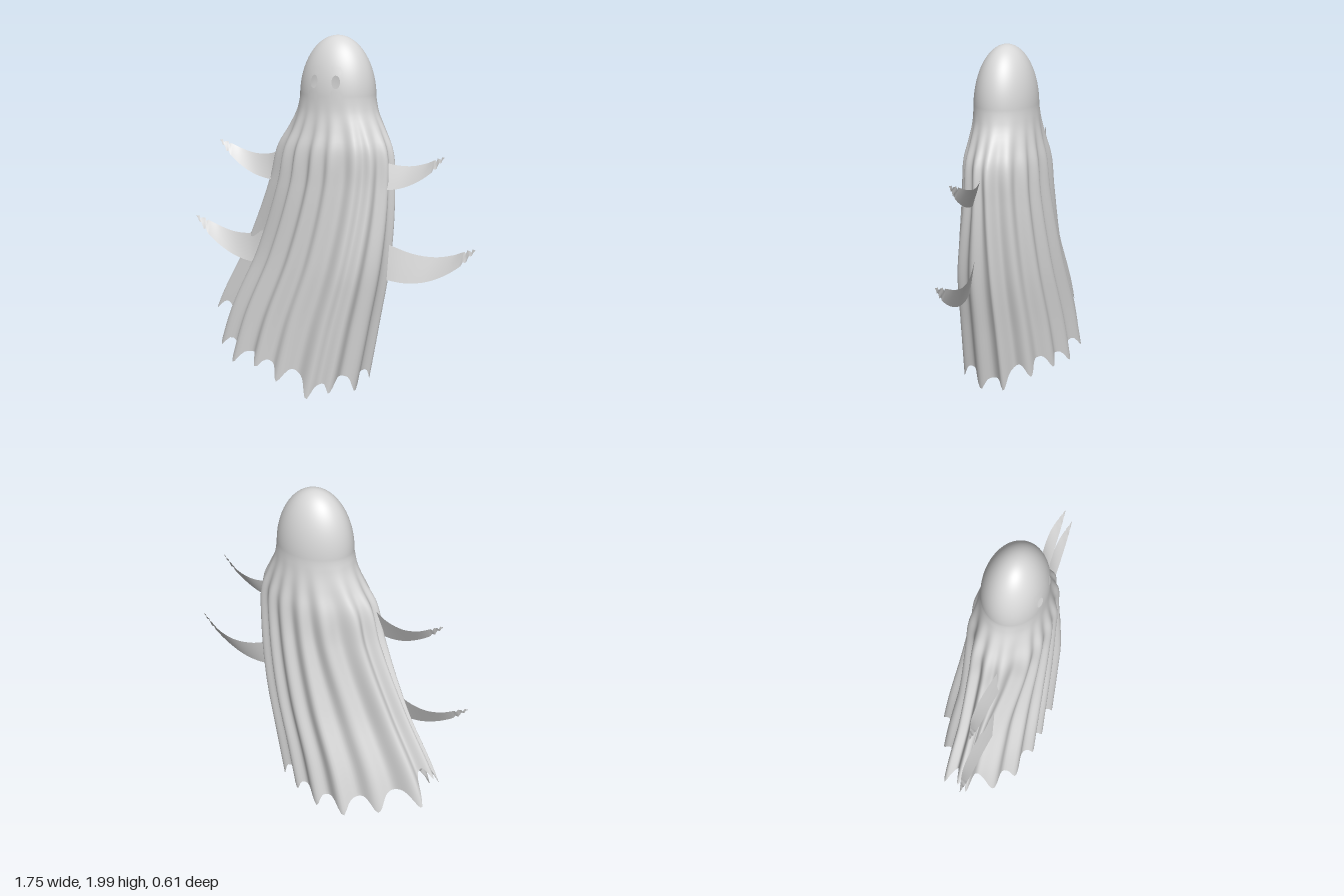
import * as THREE from 'three';

const cloth = new THREE.MeshStandardMaterial({ color: 0xd8d8d8, side: THREE.DoubleSide });
cloth.name = 'pale cloth';

// Envelope of the sheet below the head: y, xMin, xMax, zMin, zMax
const SECTIONS = [
  [0, -0.9, 0.22, -0.325, 0.305],
  [0.4, -0.765, 0.295, -0.295, 0.285],
  [0.8, -0.55, 0.365, -0.255, 0.26],
  [1.2, -0.368, 0.388, -0.218, 0.242],
  [1.4, -0.305, 0.375, -0.203, 0.234],
  [1.5, -0.24, 0.33, -0.182, 0.21],
  [1.6, -0.185, 0.282, -0.162, 0.19],
  [1.67, -0.165, 0.267, -0.153, 0.185],
];
const envelope = new THREE.CubicInterpolant(
  SECTIONS.map(s => s[0]), SECTIONS.flatMap(s => s.slice(1)), 4, new Float32Array(4));

// Pleat ridges around the sheet: angle in degrees, height of the hem point below
const RIDGES = [
  [-4, 0.06], [14, 0.03], [37, 0.05], [53, 0.01], [77, 0.08], [93, 0.14], [112, 0.12],
  [130, 0.18], [164, 0.35], [186, 0.42], [211, 0.27], [246, 0.2], [267, 0.15], [287, 0.13],
  [305, 0.15], [327, 0.14], [356, 0.06],
];

const N = 192, HEAD = 30, SKIRT = 56, ROWS = HEAD + SKIRT;
const HEAD_Y = 1.67, HEAD_R = 0.33;
const EYES = [{ i: 38, u: 38.3 }, { i: 58, u: 57.7 }];
const EYE_ROW = 25, EYE_V = 24.6, HOLE = 3, BLEND = 5;

// Valley amount (0 on a ridge, more in wide gaps) and ragged hem height at column u
function pleat(u) {
  let deg = u / N * 360;
  if (deg >= 356) deg -= 360;
  const k = RIDGES.findIndex(r => r[0] > deg);
  const [a0, y0] = RIDGES[k - 1], [a1, y1] = RIDGES[k];
  const t = (deg - a0) / (a1 - a0), gap = Math.min((a1 - a0) / 24, 1.2);
  const ridge = 0.5 + 0.5 * Math.cos(t * Math.PI * 2);
  return {
    valley: (1 - ridge) * gap,
    hem: THREE.MathUtils.lerp(y0, y1, THREE.MathUtils.smoothstep(t, 0, 1))
      + 0.1 * Math.min(gap, 1) * (1 - ridge ** 3),
  };
}

// Depth factor: the trailing side narrows, the leading front corner swells
function skewFactor(c, s) {
  if (c > 0) return s > 0 ? 1 + 0.68 * c * c : 1;
  return s > 0 ? 1 - 0.68 * c * c : 1 - 0.2 * THREE.MathUtils.smoothstep(-c, 0, 0.45);
}

// Point on the sheet at column u and row v
function sheetPoint(u, v) {
  const a = u / N * Math.PI * 2, c = Math.cos(a), s = Math.sin(a);
  const { valley, hem } = pleat(u);
  let y, k = 1, depth = 0, skew = 1;
  if (v <= HEAD) {
    const phi = v / HEAD * Math.PI / 2;
    y = HEAD_Y + HEAD_R * Math.cos(phi);
    k = Math.sin(phi);
  } else {
    y = THREE.MathUtils.lerp(HEAD_Y, hem, (v - HEAD) / SKIRT);
    const drop = HEAD_Y - y;
    depth = valley * (THREE.MathUtils.smoothstep(drop, 0.02, 0.4) * 0.026 + drop * 0.015);
    skew = THREE.MathUtils.lerp(1, skewFactor(c, s), THREE.MathUtils.smoothstep(drop, 0.3, 1));
  }
  const [x0, x1, z0, z1] = envelope.evaluate(Math.min(y, HEAD_Y));
  // valleys sink inward and lean against the trailing direction
  const x = (x0 + x1) / 2 + c * ((x1 - x0) / 2 * k - depth) + 0.35 * depth * Math.abs(s);
  const z = (z0 + z1) / 2 + s * ((z1 - z0) / 2 * k * skew - depth);
  return [x, y, z];
}

// Grid position, bent around the two oval eye holes
function gridPoint(i, j) {
  for (const e of EYES) {
    const di = i - e.i, dj = j - EYE_ROW, r = Math.max(Math.abs(di), Math.abs(dj));
    if (r >= HOLE && r < BLEND) {
      const t = (r - HOLE) / (BLEND - HOLE), a = Math.atan2(dj, di);
      return sheetPoint(
        THREE.MathUtils.lerp(e.u + 3.5 * Math.cos(a), i, t),
        THREE.MathUtils.lerp(EYE_V + 2.1 * Math.sin(a), j, t));
    }
  }
  return sheetPoint(i, j);
}

function inEye(i, j) {
  return EYES.some(e => Math.abs(i + 0.5 - e.i) < HOLE && Math.abs(j + 0.5 - EYE_ROW) < HOLE);
}

function surface(points, index) {
  const g = new THREE.BufferGeometry();
  g.setAttribute('position', new THREE.Float32BufferAttribute(points, 3));
  g.setIndex(index);
  g.computeVertexNormals();
  return g;
}

// Head and pleated sheet in one open skin
function sheetGeometry() {
  const points = [], index = [];
  for (let j = 0; j <= ROWS; j++)
    for (let i = 0; i < N; i++) points.push(...gridPoint(i, j));
  for (let j = 0; j < ROWS; j++)
    for (let i = 0; i < N; i++) {
      if (inEye(i, j)) continue;
      const n = (i + 1) % N;
      const a = j ? j * N + i : 0, b = j ? j * N + n : 0;
      const c = (j + 1) * N + n, d = (j + 1) * N + i;
      if (j) index.push(a, b, d);
      index.push(b, c, d);
    }
  return surface(points, index);
}

// Curved ragged arm, root at the origin and reaching toward +x
function armGeometry() {
  const curve = pts => new THREE.CatmullRomCurve3(pts.map(p => new THREE.Vector3(...p)));
  const top = curve([[0, 0.89, 0.065], [0.13, 0.848, 0.035], [0.25, 0.842, 0.02],
    [0.35, 0.866, 0.022], [0.42, 0.897, 0.038], [0.487, 0.922, 0.06]]);
  const bottom = curve([[0, 0.7, 0.095], [0.1, 0.692, 0.08], [0.21, 0.71, 0.07],
    [0.32, 0.76, 0.066], [0.42, 0.835, 0.063], [0.484, 0.912, 0.06]]);
  const points = [], index = [], S = 40, R = 4;
  for (let s = 0; s <= S; s++) {
    const t = s / S, hi = top.getPoint(t), lo = bottom.getPoint(t);
    // torn notches near the tip
    if (t > 0.78 && t < 1) {
      lo.y += [0.012, 0, -0.006, 0.004][s % 4];
      hi.y += [0, -0.012, 0.006, 0][s % 4];
    }
    for (let r = 0; r <= R; r++) points.push(...hi.clone().lerp(lo, r / R).toArray());
  }
  for (let s = 0; s < S; s++)
    for (let r = 0; r < R; r++) {
      const a = s * (R + 1) + r, b = a + R + 1;
      index.push(a, a + 1, b, b, a + 1, b + 1);
    }
  return surface(points, index);
}

export function createModel() {
  const model = new THREE.Group();
  model.name = 'ghost';
  const add = (name, geometry) => {
    const mesh = new THREE.Mesh(geometry, cloth);
    mesh.name = name;
    model.add(mesh);
    return mesh;
  };

  add('sheet', sheetGeometry());

  // Two mirrored pairs of arms
  const arm = armGeometry();
  for (const [side, sign] of [['left', 1], ['right', -1]]) {
    const lower = add(side + 'LowerArm', arm);
    lower.scale.x = sign;
    lower.position.x = sign * 0.388;
    const upper = add(side + 'UpperArm', arm);
    upper.scale.set(sign * 0.87, 0.87, 1);
    upper.position.set(sign * 0.268, 0.59, 0);
  }
  return model;
}
